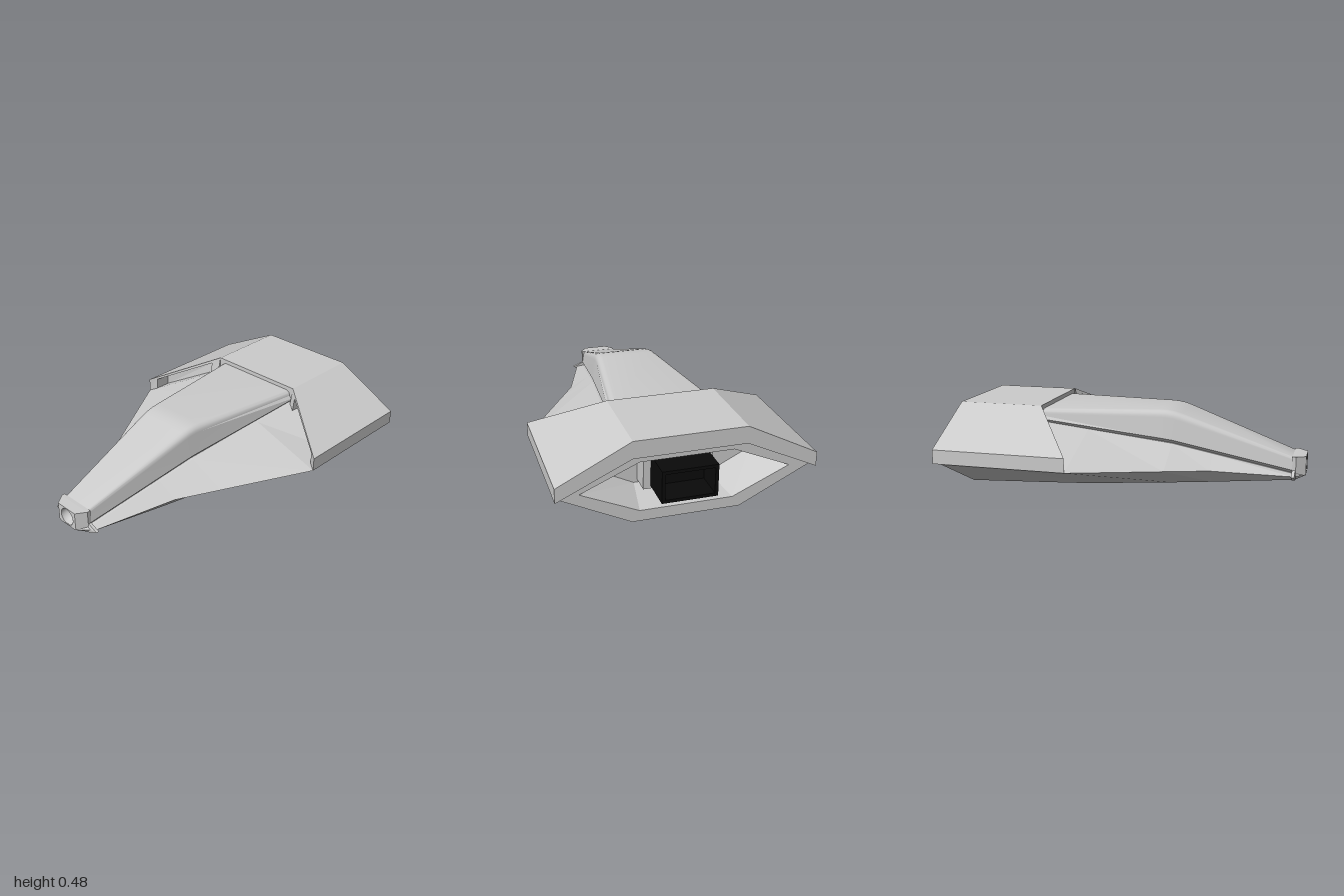
import * as THREE from 'three';
import { toCreasedNormals } from 'three/addons/utils/BufferGeometryUtils.js';

const grey = () => new THREE.MeshStandardMaterial({ color: 0xcccccc, side: THREE.DoubleSide });
const black = () => new THREE.MeshStandardMaterial({ color: 0x0a0a0a, side: THREE.DoubleSide });

function mesh(name, geometry, material = grey()) {
  const m = new THREE.Mesh(geometry, material);
  m.name = name;
  return m;
}

// Polygons (counter-clockwise from outside) to a faceted geometry
function fromPolygons(polys) {
  const pos = [];
  for (const p of polys)
    for (let i = 1; i < p.length - 1; i++) pos.push(...p[0], ...p[i], ...p[i + 1]);
  const g = new THREE.BufferGeometry();
  g.setAttribute('position', new THREE.Float32BufferAttribute(pos, 3));
  g.computeVertexNormals();
  return g;
}

// Adds the x-mirrored copy of each polygon
const mirrored = (polys) =>
  polys.concat(polys.map((p) => p.map(([x, y, z]) => [-x, y, z]).reverse()));

// Skin through sections [z, [x, y]...]; each lists its +x half from bottom to top
function loft(sections, { start = true, end = true } = {}) {
  const rings = sections.map(([z, ...half]) => [
    ...half.map(([x, y]) => [x, y, z]),
    ...half.map(([x, y]) => [-x, y, z]).reverse(),
  ]);
  const polys = [];
  for (let i = 0; i < rings.length - 1; i++) {
    const a = rings[i], b = rings[i + 1];
    for (let j = 0; j < a.length; j++) {
      const k = (j + 1) % a.length;
      polys.push([a[j], a[k], b[k], b[j]]);
    }
  }
  if (start) polys.push([...rings[0]].reverse());
  if (end) polys.push(rings[rings.length - 1]);
  return fromPolygons(polys);
}

function rectangle(w, y0, y1, Type = THREE.Shape) {
  return new Type([[-w, y0], [w, y0], [w, y1], [-w, y1]].map((p) => new THREE.Vector2(...p)));
}

// Seam between deck and spine: [half width, height] at z
function seam(z) {
  const { lerp } = THREE.MathUtils;
  if (z < -0.5) return [0.3, 0.385];
  if (z < 0.25) {
    const t = (z + 0.5) / 0.75;
    return [lerp(0.3, 0.2, t), lerp(0.385, 0.275, t)];
  }
  const t = (z - 0.25) / 0.68;
  return [lerp(0.2, 0.11, t), lerp(0.275, 0.12, t)];
}

// Hull: starts inside the rear cavity, turns over the rim and runs to the nose
function hull() {
  const opening = [[0.25, 0.06], [0.56, 0.2], [0.25, 0.335]];
  const cavityEnd = [[0.21, 0.08], [0.45, 0.2], [0.21, 0.315]];
  return loft([
    [-0.7, ...cavityEnd],
    [-0.95, ...opening],
    [-0.95, [0.29, 0], [0.69, 0.2], seam(-0.95)],
    [-0.5, [0.29, 0.02], [0.69, 0.2], seam(-0.5)],
    [-0.23, [0.29, 0.033], [0.69, 0.2], seam(-0.23)],
    [0.25, [0.235, 0.057], [0.42, 0.17], seam(0.25)],
    [0.48, [0.2, 0.068], [0.29, 0.155], seam(0.48)],
    [0.93, [0.12, 0.09], [0.15, 0.115], seam(0.93)],
  ]);
}

// Spine: undercut at the seam, steep sides, rounded top corners and a soft hump
function spine() {
  const stations = [ // z, top half width, top height, corner radius
    [-0.55, 0.285, 0.455, 0.03],
    [0.17, 0.19, 0.464, 0.04],
    [0.21, 0.186, 0.463, 0.04],
    [0.25, 0.182, 0.457, 0.04],
    [0.29, 0.178, 0.446, 0.04],
    [0.93, 0.1, 0.217, 0.018],
  ];
  const sections = stations.map(([z, tw, top, r]) => {
    const [w, y] = seam(z);
    const half = [[w - 0.018, y - 0.015], [w - 0.018, y + 0.003], [w, y + 0.022]];
    for (let i = 0; i <= 5; i++) {
      const a = (i / 5) * Math.PI / 2;
      half.push([tw - r + r * Math.cos(a), top - r + r * Math.sin(a)]);
    }
    return [z, ...half];
  });
  return toCreasedNormals(loft(sections), 0.45);
}

// Roof: folded slab with a recessed intake in each swept cheek
function roof() {
  const A = [0.3, 0.385, -0.48], B = [0.69, 0.2, -0.23];
  const C = [0.69, 0.28, -0.23], D = [0.3, 0.48, -0.5];
  const p = (u, v) => [0, 1, 2].map((i) =>
    (1 - v) * (A[i] * (1 - u) + B[i] * u) + v * (D[i] * (1 - u) + C[i] * u));
  const q = (u, v) => { const [x, y, z] = p(u, v); return [x, y, z - 0.1]; };
  const l = 0.11, r = 0.89, t = 0.8;
  return fromPolygons(mirrored([
    // top, slope and side
    [[0, 0.48, -0.5], D, [0.3, 0.48, -1], [0, 0.48, -1]],
    [D, C, [0.69, 0.28, -1], [0.3, 0.48, -1]],
    [B, [0.69, 0.2, -1], [0.69, 0.28, -1], C],
    // back edge and overhang
    [[0.69, 0.2, -1], [0.3, 0.385, -1], [0.3, 0.48, -1], [0.69, 0.28, -1]],
    [[0.3, 0.385, -1], [0, 0.385, -1], [0, 0.48, -1], [0.3, 0.48, -1]],
    [[0.69, 0.2, -1], [0.69, 0.2, -0.95], [0.3, 0.385, -0.95], [0.3, 0.385, -1]],
    [[0.3, 0.385, -1], [0.3, 0.385, -0.95], [0, 0.385, -0.95], [0, 0.385, -1]],
    // front edge above the spine
    [[0, 0.4, -0.5], [0.3, 0.4, -0.5], D, [0, 0.48, -0.5]],
    // cheek frame
    [p(0, 0), p(l, 0), p(l, 1), p(0, 1)],
    [p(r, 0), p(1, 0), p(1, 1), p(r, 1)],
    [p(l, t), p(r, t), p(r, 1), p(l, 1)],
    // intake walls and back panel
    [p(l, 0), q(l, 0), q(l, t), p(l, t)],
    [p(r, 0), p(r, t), q(r, t), q(r, 0)],
    [p(l, t), q(l, t), q(r, t), p(r, t)],
    [q(l, 0), q(r, 0), q(r, t), q(l, t)],
  ]));
}

// Nose: tapered housing with a round bowl, on a pointed collar
function nose() {
  const g = new THREE.Group();
  g.name = 'nose';
  g.add(mesh('noseHousing', loft([
    [0.925, [0.11, 0.1], [0.11, 0.22]],
    [0.945, [0.11, 0.1], [0.11, 0.22]],
    [1, [0.07, 0.11], [0.07, 0.217]],
  ], { end: false })));

  const face = rectangle(0.07, 0.11, 0.217);
  face.holes.push(new THREE.Path().absarc(0, 0.162, 0.05, 0, Math.PI * 2, true));
  const front = mesh('noseFace', new THREE.ShapeGeometry(face, 24));
  front.position.z = 1;

  const bowl = mesh('noseBowl',
    new THREE.SphereGeometry(0.05, 32, 10, 0, Math.PI * 2, 0, Math.PI / 2).rotateX(-Math.PI / 2));
  bowl.position.set(0, 0.162, 1);

  g.add(front, bowl, mesh('noseCollar', loft([
    [0.925, [0.12, 0.085], [0.172, 0.115], [0.11, 0.142]],
    [0.942, [0.12, 0.085], [0.172, 0.115], [0.11, 0.142]],
    [0.947, [0.105, 0.09], [0.125, 0.113], [0.1, 0.128]],
    [0.998, [0.06, 0.105], [0.068, 0.11], [0.065, 0.115]],
  ])));
  return g;
}

// Exhaust: open black duct on a grey mounting block inside the rear cavity
function exhaust() {
  const g = new THREE.Group();
  g.name = 'exhaust';
  const shape = rectangle(0.15, 0.11, 0.29);
  shape.holes.push(rectangle(0.132, 0.128, 0.272, THREE.Path));
  const duct = mesh('exhaustDuct',
    new THREE.ExtrudeGeometry(shape, { depth: 0.2, bevelEnabled: false }), black());
  duct.position.z = -1;
  const plug = mesh('exhaustPlug', new THREE.BoxGeometry(0.27, 0.15, 0.02), black());
  plug.position.set(0, 0.2, -0.83);
  const mount = mesh('exhaustMount', new THREE.BoxGeometry(0.38, 0.21, 0.12));
  mount.position.set(0, 0.2, -0.75);
  g.add(duct, plug, mount);
  return g;
}

export function createModel() {
  const model = new THREE.Group();
  model.name = 'model';
  model.add(mesh('hull', hull()), mesh('spine', spine()), mesh('roof', roof()), nose(), exhaust());
  return model;
}
